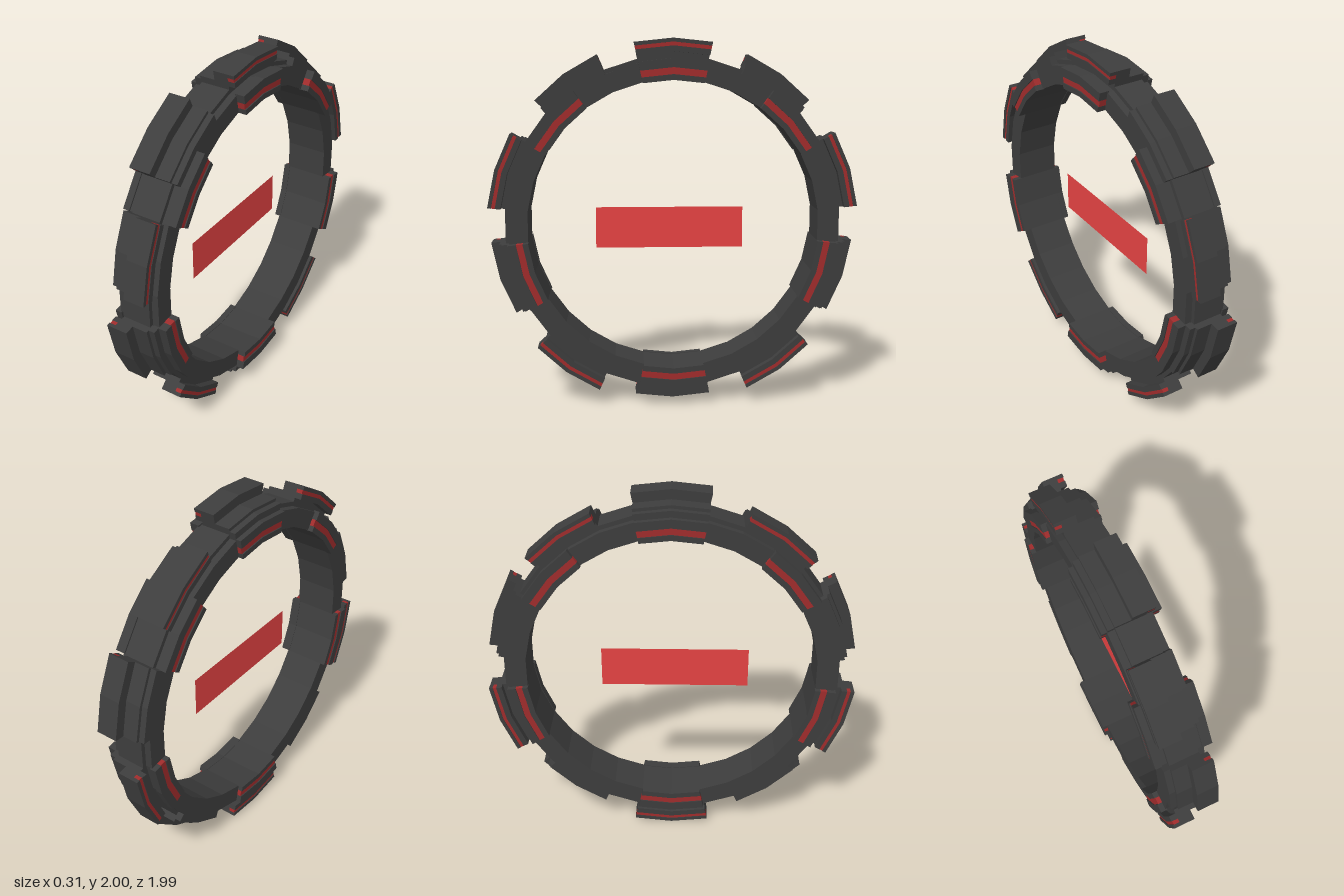
import * as THREE from 'three';

const STEP = Math.PI / 15; // the ring has 30 facets
const SEAM = -0.01; // plane between the two halves
const paint = (color) => new THREE.MeshStandardMaterial({ color, flatShading: true });

// Points on the facet corners from facet a to facet b at radius r
function arc(r, a, b) {
  const pts = [];
  for (let i = a; i <= b; i++) pts.push(new THREE.Vector2(r * Math.sin(i * STEP), r * Math.cos(i * STEP)));
  return pts;
}

// Extrude a shape along x, between x0 and x1
function alongX(shape, x0, x1) {
  const geo = new THREE.ExtrudeGeometry(shape, { depth: Math.abs(x1 - x0), bevelEnabled: false });
  return geo.rotateY(Math.PI / 2).translate(Math.min(x0, x1), 0, 0);
}

export function createModel() {
  const model = new THREE.Group();
  const wheel = new THREE.Group();
  wheel.name = 'wheel';
  wheel.position.y = 1;
  model.add(wheel);

  const dark = paint(0x3d3d3d);
  const red = paint(0xa02c2c);
  const add = (parent, name, geo, mat) => {
    const mesh = new THREE.Mesh(geo, mat);
    mesh.name = name;
    parent.add(mesh);
  };

  // Full ring: a wide band with a raised centre band; the hole runs opposite to the outline
  const ring = (name, r0, r1, half) => {
    const shape = new THREE.Shape(arc(r1, 0, 29));
    shape.holes.push(new THREE.Path(arc(r0, 0, 29).reverse()));
    add(wheel, name, alongX(shape, SEAM - half, SEAM + half), dark);
  };
  ring('ringBand', 0.785, 0.887, 0.118);
  ring('raisedBand', 0.86, 0.91, 0.08);

  // Two-facet arc piece centred on a facet corner; l0, l1 are distances from the seam
  const piece = (parent, name, at, side, r0, r1, l0, l1, mat = dark) => {
    const shape = new THREE.Shape([...arc(r1, at - 1, at + 1), ...arc(r0, at - 1, at + 1).reverse()]);
    add(parent, name, alongX(shape, SEAM + side * l0, SEAM + side * l1), mat);
  };

  for (const side of [1, -1]) {
    const half = new THREE.Group();
    half.name = side > 0 ? 'leftHalf' : 'rightHalf';
    wheel.add(half);

    // Ten rim blocks, tall and low in turn, opposite on the two halves
    for (let i = 0; i < 10; i++) {
      const at = i * 3;
      const tall = (i % 2 === 0) === (side > 0);
      if (tall) {
        piece(half, 'tallBlock', at, side, 0.89, 1, 0, 0.08);
        piece(half, 'tallBlockOuterLip', at, side, 0.98, 1, 0.08, 0.118);
        piece(half, 'tallBlockStrip', at, side, 0.96, 0.98, 0.08, 0.114, red);
        piece(half, 'tallBlockInnerLip', at, side, 0.93, 0.96, 0.08, 0.118);
      } else {
        piece(half, 'lowBlock', at, side, 0.89, 0.947, 0, 0.085);
        piece(half, 'lowBlockStep', at, side, 0.88, 0.93, 0.085, 0.118);
      }
    }

    // Six side pads with a red strip set between two rails
    const out = side > 0 ? 0.163 : 0.146;
    for (const at of [0, 4, 9, 15, 21, 26]) {
      piece(half, 'padInnerRail', at, side, 0.782, 0.812, 0.11, out);
      piece(half, 'padStrip', at, side, 0.812, 0.848, 0.11, out - 0.006, red);
      piece(half, 'padOuterRail', at, side, 0.848, 0.895, 0.11, out);
    }
  }

  // Flat panel floating in the middle
  const panelMat = new THREE.MeshStandardMaterial({ color: 0xe64343, side: THREE.DoubleSide });
  const panel = new THREE.PlaneGeometry(0.805, 0.225).rotateY(Math.PI / 2).translate(SEAM, -0.024, 0.018);
  add(wheel, 'centrePanel', panel, panelMat);
  return model;
}
